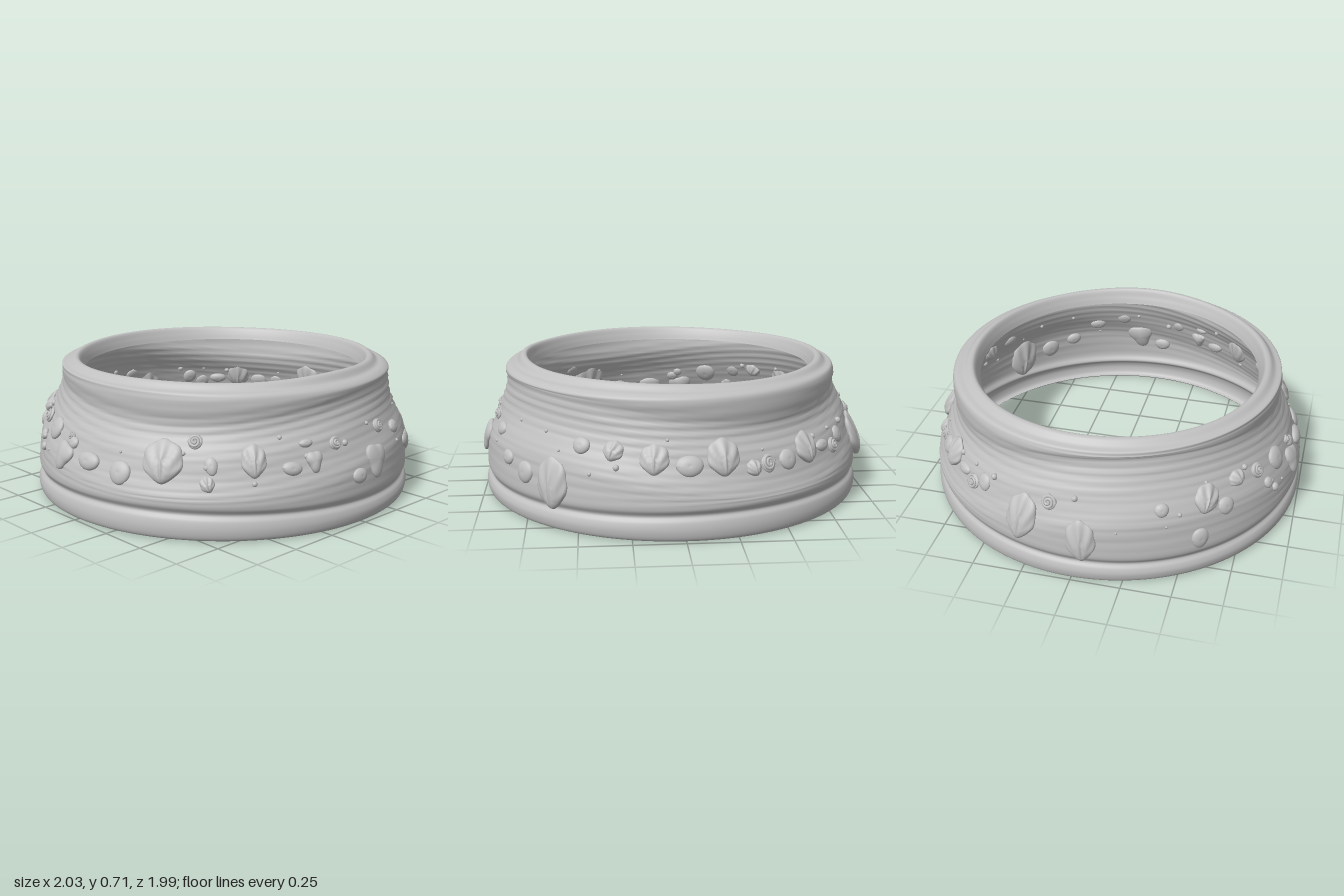
import * as THREE from 'three';

const rad = THREE.MathUtils.degToRad;
const smooth = THREE.MathUtils.smoothstep;

// Cross-section of the band: under-hem, two rolls, flared wall, shoulder, inward lip
const profile = new THREE.CatmullRomCurve3([
  [0.945, 0.012], [0.96, 0], [0.985, 0.008], [0.996, 0.05], [0.988, 0.09], [0.972, 0.115],
  [0.988, 0.15], [0.985, 0.22], [0.962, 0.31], [0.922, 0.41], [0.882, 0.49], [0.866, 0.56],
  [0.868, 0.64], [0.855, 0.665], [0.82, 0.675], [0.79, 0.698], [0.768, 0.698], [0.748, 0.665], [0.735, 0.63],
].map(([r, y]) => new THREE.Vector3(r, y, 0)), false, 'centripetal');

// Point of the wavy band surface at profile position u and angle a (0 = front, 90 degrees = +x)
function bandPoint(u, a) {
  const p = profile.getPoint(u);
  const outer = 1 - smooth(u, 0.68, 0.74);
  const wall = smooth(p.y, 0.13, 0.28) * (1 - smooth(p.y, 0.58, 0.66)) * outer;
  const flow = -0.04 * Math.cos(2 * (a - rad(25))) + 0.008 * Math.sin(3 * a);
  let r = p.x;
  // fine combed ripples and two broader ridges that follow the flow
  const ripple = Math.sin(78 * p.y + 2.2 * Math.sin(a + 1) + 1.3 * Math.sin(3 * a));
  r += wall * (0.0035 * (1 - 2 * Math.abs(ripple)) + 0.004 * Math.sin(30 * p.y + 1.5 * Math.sin(2 * a)));
  // the upper wall leans a little to one side
  r += smooth(p.y, 0.4, 0.6) * outer * (0.008 * Math.sin(a) - 0.012 * Math.cos(a));
  let y = p.y + flow * wall;
  // uneven grooves between the rolls at the foot
  y += outer * 0.012 * Math.sin(2 * a + 0.6) * smooth(p.y, 0.03, 0.1) * (1 - smooth(p.y, 0.15, 0.25));
  // raised crest on the rim
  const crest = Math.exp(-Math.pow(Math.atan2(Math.sin(a - rad(90)), Math.cos(a - rad(90))) / 0.45, 2));
  y += smooth(p.y, 0.67, 0.7) * (0.018 * crest + 0.004 * Math.sin(3 * a));
  return new THREE.Vector3(r * Math.sin(a), y, r * Math.cos(a));
}

function bandGeometry(rows = 110, cols = 260) {
  const pos = [], index = [];
  for (let i = 0; i <= rows; i++) {
    for (let j = 0; j < cols; j++) pos.push(...bandPoint(i / rows, j / cols * Math.PI * 2).toArray());
  }
  for (let i = 0; i < rows; i++) {
    for (let j = 0; j < cols; j++) {
      const k = (j + 1) % cols;
      const a = i * cols + j, b = i * cols + k, c = a + cols, d = b + cols;
      index.push(a, b, d, a, d, c);
    }
  }
  const g = new THREE.BufferGeometry();
  g.setAttribute('position', new THREE.Float32BufferAttribute(pos, 3));
  g.setIndex(index);
  g.computeVertexNormals();
  return g;
}

// Seats an object on the outer wall at an angle and height, its +z pointing outwards
function seat(object, deg, y, tilt = 0) {
  const a = rad(deg);
  let lo = 0.12, hi = 0.7;
  for (let i = 0; i < 24; i++) {
    const mid = (lo + hi) / 2;
    if (bandPoint(mid, a).y < y) lo = mid; else hi = mid;
  }
  const right = new THREE.Vector3(Math.cos(a), 0, -Math.sin(a));
  const up = bandPoint(lo + 0.05, a).sub(bandPoint(lo - 0.05, a));
  up.addScaledVector(right, -up.dot(right)).normalize();
  const normal = new THREE.Vector3().crossVectors(right, up);
  object.quaternion.setFromRotationMatrix(new THREE.Matrix4().makeBasis(right, up, normal));
  object.rotateZ(rad(tilt));
  object.position.copy(bandPoint(lo, a));
}

// Unit sphere with its pole on z, reshaped by a rule
function moulded(segments, rings, rule) {
  const g = new THREE.SphereGeometry(1, segments, rings).rotateX(Math.PI / 2);
  const p = g.attributes.position, v = new THREE.Vector3();
  for (let i = 0; i < p.count; i++) {
    v.fromBufferAttribute(p, i);
    rule(v);
    p.setXYZ(i, v.x, v.y, v.z);
  }
  g.computeVertexNormals();
  return g;
}

// Ribbed fan that narrows to a hinge at the bottom
const fanGeometry = moulded(72, 14, (v) => {
  const angle = Math.atan2(v.x, v.y + 1.2);
  const rib = Math.cos(angle * 15);
  const open = smooth(v.y, -1, -0.2);
  v.z *= (1 + 0.17 * rib * open) * (0.75 - 0.25 * v.y);
  const edge = 1 + 0.035 * rib * open;
  v.x *= edge * (v.y < 0 ? 1 - 0.42 * v.y * v.y : 1);
  v.y *= edge;
});
const pebbleGeometry = moulded(24, 12, (v) => {
  v.x *= 1 + 0.1 * v.y;
  v.z *= 1 - 0.15 * Math.exp(-(v.x * v.x + v.y * v.y) * 60);
});
// Rounded three-lobed stone
const lobedGeometry = moulded(36, 12, (v) => {
  const k = 1 + 0.18 * Math.cos(3 * (Math.atan2(v.y, v.x) + Math.PI / 2));
  v.x *= k;
  v.y *= k;
});
const beadGeometry = new THREE.SphereGeometry(1, 10, 8);

// Coiled tube, tapering in towards a raised centre
const coilPoints = [];
for (let i = 0; i <= 40; i++) {
  const t = i / 40, a = t * Math.PI * 4.6, r = 0.78 * (1 - t) + 0.06;
  coilPoints.push(new THREE.Vector3(r * Math.cos(a), r * Math.sin(a), 0.2 + 0.35 * t));
}
const coilGeometry = new THREE.TubeGeometry(new THREE.CatmullRomCurve3(coilPoints), 70, 0.19, 7);

// Rows: degrees, height, width, length, tilt
const fans = [
  [29, 0.36, 0.2, 0.21, 3], [42, 0.27, 0.07, 0.08, 20], [55, 0.37, 0.12, 0.16, 0], [141, 0.23, 0.18, 0.25, 6],
  [159, 0.41, 0.1, 0.1, -15], [171, 0.38, 0.14, 0.15, 0], [191, 0.38, 0.16, 0.18, 0], [200, 0.32, 0.08, 0.08, 10],
  [220, 0.365, 0.14, 0.16, 0], [255, 0.3, 0.16, 0.24, -4], [273, 0.24, 0.15, 0.22, 5], [310, 0.4, 0.13, 0.15, -25],
  [322, 0.43, 0.1, 0.08, 15],
];
const pebbles = [
  [4, 0.305, 0.14, 0.09, 0], [16, 0.285, 0.115, 0.115, 0], [43, 0.35, 0.06, 0.09, 10], [66, 0.325, 0.1, 0.065, -10],
  [71, 0.43, 0.07, 0.04, 0], [88, 0.24, 0.095, 0.075, 0], [112, 0.39, 0.095, 0.07, 0], [121, 0.285, 0.09, 0.075, -10],
  [130, 0.245, 0.11, 0.11, 0], [149, 0.42, 0.09, 0.08, 0], [181, 0.35, 0.13, 0.1, 0], [212, 0.33, 0.1, 0.1, 0],
  [228, 0.345, 0.1, 0.06, 0], [239, 0.36, 0.08, 0.09, 20], [296, 0.39, 0.07, 0.07, 0], [307, 0.21, 0.09, 0.11, 0],
  [316, 0.335, 0.09, 0.09, 0], [334, 0.325, 0.055, 0.06, 0], [337, 0.275, 0.045, 0.045, 0], [342, 0.385, 0.12, 0.12, 0],
  [355, 0.36, 0.07, 0.06, 0],
];
const lobedStones = [[352, 0.295, 0.13, 0.14, -15], [96, 0.295, 0.14, 0.16, -10], [73, 0.35, 0.08, 0.1, 0]];
const coils = [
  [38, 0.45, 0.07, 0.07, 0], [81, 0.41, 0.065, 0.065, 40], [102, 0.43, 0.08, 0.07, 0], [205, 0.33, 0.075, 0.09, 0],
  [234, 0.325, 0.08, 0.08, 90], [263, 0.4, 0.08, 0.08, 0], [331, 0.41, 0.08, 0.08, 120], [353, 0.385, 0.05, 0.05, 0],
];

export function createModel() {
  const model = new THREE.Group();
  const stone = new THREE.MeshStandardMaterial({ color: 0xc0c0c0, side: THREE.DoubleSide });
  stone.name = 'paleGrey';

  const add = (geometry, name, [deg, y, w, h, tilt], depth) => {
    const mesh = new THREE.Mesh(geometry, stone);
    mesh.name = name;
    mesh.scale.set(w / 2, h / 2, depth);
    seat(mesh, deg, y, tilt);
    model.add(mesh);
  };

  const band = new THREE.Mesh(bandGeometry(), stone);
  band.name = 'wavyBand';
  model.add(band);

  fans.forEach((f) => add(fanGeometry, 'fanShell', f, 0.02 + f[2] * 0.13));
  pebbles.forEach((p) => add(pebbleGeometry, 'pebble', p, 0.012 + p[2] * 0.1));
  lobedStones.forEach((p) => add(lobedGeometry, 'lobedStone', p, 0.026));
  coils.forEach((c) => {
    add(pebbleGeometry, 'snailBase', c, 0.014);
    add(coilGeometry, 'snailCoil', c, 0.035);
  });

  // Tiny beads scattered along the shell line
  let seed = 7;
  const random = () => (seed = (seed * 16807) % 2147483647) / 2147483647;
  for (let i = 0; i < 36; i++) {
    const size = 0.014 + 0.022 * random() ** 2;
    add(beadGeometry, 'bead', [i * 10 + 7 * random(), 0.26 + 0.22 * random(), size, size, 0], size / 2);
  }
  return model;
}
